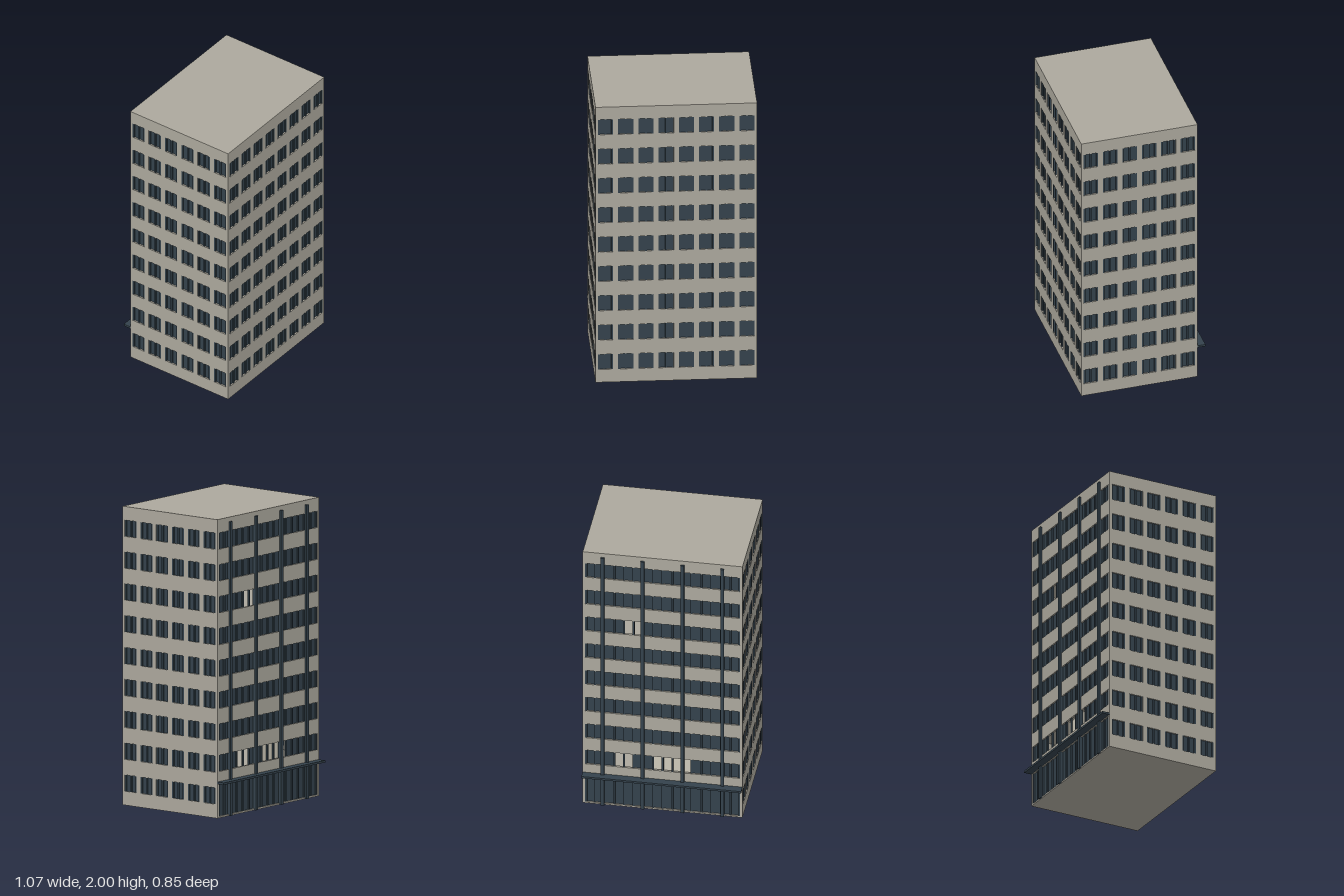
import * as THREE from 'three';
import { mergeGeometries } from 'three/addons/utils/BufferGeometryUtils.js';

const W = 1.067, D = 0.8, H = 2, T = 0.015, CZ = 0.027;
const BAY = W / 8, ROWS = 9, WIN_W = 0.1, WIN_H = 0.11;
const rowY = (i) => 0.148 + i * 0.2133;

const concrete = new THREE.MeshStandardMaterial({ color: 0xaca89d });
concrete.name = 'concrete';
const darkGlass = new THREE.MeshStandardMaterial({ color: 0x34424c });
darkGlass.name = 'darkGlass';
const cream = new THREE.MeshStandardMaterial({ color: 0xcfcabb });
cream.name = 'cream';

function box(w, h, d, x, y, z) {
  return new THREE.BoxGeometry(w, h, d).translate(x, y, z);
}

function add(parent, name, geometry, material) {
  const mesh = new THREE.Mesh(geometry, material);
  mesh.name = name;
  parent.add(mesh);
  return mesh;
}

// Wall panel with rectangular openings, outer face at local z = 0
function wallPanel(width, openings) {
  const w = width / 2;
  const shape = new THREE.Shape([[-w, 0], [w, 0], [w, H], [-w, H]].map((p) => new THREE.Vector2(...p)));
  for (const { x, y, w: ow, h } of openings) {
    const a = ow / 2, b = h / 2;
    shape.holes.push(new THREE.Path([[x - a, y - b], [x - a, y + b], [x + a, y + b], [x + a, y - b]]
      .map((p) => new THREE.Vector2(...p))));
  }
  return new THREE.ExtrudeGeometry(shape, { depth: T, bevelEnabled: false }).translate(0, 0, -T);
}

// Recessed panes divided by upright mullions; missing panes stay open
function glazing({ x, y, w, h, panes, missing = [] }) {
  const parts = [], step = w / panes, bar = 0.012;
  for (let i = 0; i < panes; i++) {
    if (missing.includes(i)) continue;
    parts.push(box(step, h, 0.003, x - w / 2 + (i + 0.5) * step, y, -0.012));
  }
  for (let i = 0; i <= panes; i++) {
    const shift = i === 0 ? bar / 2 : i === panes ? -bar / 2 : 0;
    parts.push(box(bar, h, 0.012, x - w / 2 + i * step + shift, y, -0.008));
  }
  return parts;
}

function facade(name, width, openings) {
  const group = new THREE.Group();
  group.name = name;
  add(group, name + 'Wall', wallPanel(width, openings), concrete);
  add(group, name + 'Windows', mergeGeometries(openings.flatMap(glazing)), darkGlass);
  return group;
}

// Regular grid of two-pane windows
function windowGrid(columns) {
  const list = [];
  for (let r = 0; r < ROWS; r++) {
    for (let c = 0; c < columns; c++) {
      list.push({ x: (c - (columns - 1) / 2) * BAY, y: rowY(r), w: WIN_W, h: WIN_H, panes: 2 });
    }
  }
  return list;
}

export function createModel() {
  const model = new THREE.Group();
  model.name = 'officeTower';

  // Front and side facades
  const front = facade('front', W, windowGrid(8));
  front.position.z = CZ + D / 2;
  model.add(front);
  for (const s of [-1, 1]) {
    const side = facade(s > 0 ? 'leftSide' : 'rightSide', D - 2 * T, windowGrid(6));
    side.position.set(s * W / 2, 0, CZ);
    side.rotation.y = s * Math.PI / 2;
    model.add(side);
  }

  // Rear facade: glazed ground floor and ribbon windows with a few open panes
  const ribbons = [{ x: 0, y: 0.118, w: 1.034, h: 0.215, panes: 16 }];
  const gaps = { 1: [3, 4, 7, 8, 9, 10], 6: [4, 5] };
  for (let r = 1; r < ROWS; r++) {
    ribbons.push({ x: 0, y: rowY(r) + (r === 1 ? 0.005 : 0), w: 1.034, h: WIN_H, panes: 16, missing: gaps[r] });
  }
  const rear = facade('rear', W, ribbons);
  rear.position.z = CZ - D / 2;
  rear.rotation.y = Math.PI;
  model.add(rear);

  // Pale blind behind the widest gap
  add(rear, 'blind', box(0.27, 0.12, 0.004, 0.064, rowY(1), -0.03), cream);

  // Full-height piers and the entrance canopy
  const piers = [-1.5, -0.5, 0.5, 1.5].map((k) => box(0.024, 1.97, 0.026, k * 2 * BAY, 0.985, 0));
  add(rear, 'piers', mergeGeometries(piers), darkGlass);
  add(rear, 'canopy', box(W, 0.014, 0.056, 0, 0.237, 0.026), darkGlass);

  // Roof, base and floor slabs inside the shell
  const slabs = [];
  for (let i = 0; i <= ROWS; i++) {
    const y = i === 0 ? T / 2 : i === ROWS ? H - T / 2 : rowY(i) - 0.09;
    slabs.push(box(W - 2 * T, T, D - 2 * T, 0, y, CZ));
  }
  add(model, 'roofAndFloors', mergeGeometries(slabs), concrete);

  return model;
}
